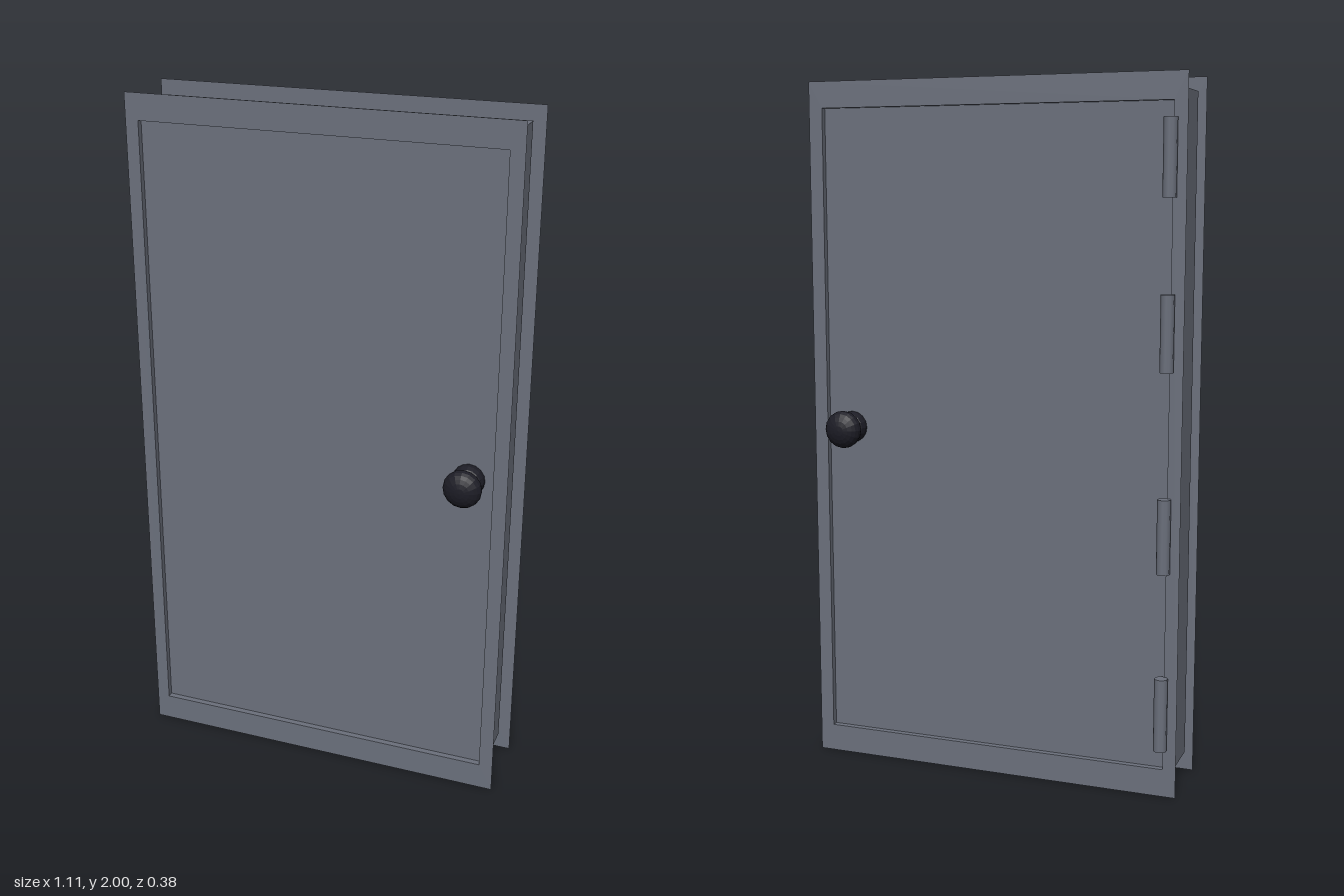
import * as THREE from 'three';

const steel = new THREE.MeshStandardMaterial({ color: 0x6b707c, side: THREE.DoubleSide });
steel.name = 'greySteel';
const black = new THREE.MeshStandardMaterial({ color: 0x1c1c25, flatShading: true });
black.name = 'blackKnob';
const hingeSteel = steel;

// Opening in the casing, and the outer edge of the casing
const opening = { x0: -0.517, x1: 0.514, y0: 0.08, y1: 1.925 };
const casing = { x0: -0.555, x1: 0.555, y0: 0, y1: 2 };
const CENTRE_Z = -0.002;
const BODY_HALF = 0.092;
const CASING_Z = 0.11;

function rectangle(Type, r, grow = 0) {
  const p = new Type();
  p.moveTo(r.x0 - grow, r.y0 - grow);
  p.lineTo(r.x1 + grow, r.y0 - grow);
  p.lineTo(r.x1 + grow, r.y1 + grow);
  p.lineTo(r.x0 - grow, r.y1 + grow);
  p.closePath();
  return p;
}

function add(parent, name, geometry, material, x = 0, y = 0, z = 0) {
  const mesh = new THREE.Mesh(geometry, material);
  mesh.name = name;
  mesh.position.set(x, y, z);
  parent.add(mesh);
  return mesh;
}

// One face of the door: flat casing, shallow reveal around the panel
function makeFace(side) {
  const face = new THREE.Group();
  face.name = side > 0 ? 'frontCasing' : 'backCasing';

  const flat = rectangle(THREE.Shape, casing);
  flat.holes.push(rectangle(THREE.Path, opening));
  add(face, 'casingPlate', new THREE.ShapeGeometry(flat), steel, 0, 0, side * CASING_Z);

  const rim = rectangle(THREE.Shape, opening, 0.002);
  rim.holes.push(rectangle(THREE.Path, opening));
  const depth = CASING_Z - BODY_HALF;
  const reveal = new THREE.ExtrudeGeometry(rim, { depth, bevelEnabled: false });
  add(face, 'reveal', reveal, steel, 0, 0, side > 0 ? BODY_HALF : -CASING_Z);

  face.position.z = CENTRE_Z;
  return face;
}

// Rounded rose with a flattened ball in front of it
function makeKnob(side) {
  const knob = new THREE.Group();
  knob.name = side > 0 ? 'frontKnob' : 'backKnob';
  const profile = [[0.046, 0.085], [0.046, 0.105], [0.041, 0.118], [0.028, 0.13], [0, 0.136]]
    .map(([r, h]) => new THREE.Vector2(r, h));
  const rose = new THREE.LatheGeometry(profile, 16).rotateX(Math.PI / 2);
  add(knob, 'rose', rose, black);
  const ball = new THREE.SphereGeometry(0.055, 16, 12).rotateX(Math.PI / 2).scale(1, 1, 0.62);
  add(knob, 'ball', ball, black, 0, 0, 0.157);
  knob.position.set(0.441, 1.005, 0);
  if (side < 0) knob.rotation.y = Math.PI;
  return knob;
}

export function createModel() {
  const door = new THREE.Group();
  door.name = 'door';

  // Solid body between the two casings
  const body = new THREE.BoxGeometry(1.057, 1.9, BODY_HALF * 2);
  add(door, 'doorBody', body, steel, -0.006, 1.01, CENTRE_Z);

  for (const side of [1, -1]) door.add(makeFace(side), makeKnob(side));

  // Hinge barrels along the back edge
  const hinges = new THREE.Group();
  hinges.name = 'hinges';
  const barrel = new THREE.CylinderGeometry(0.019, 0.019, 0.21, 10);
  for (const y of [0.246, 0.754, 1.311, 1.776]) {
    add(hinges, 'hingeBarrel', barrel, hingeSteel, -0.512, y, -0.126);
  }
  door.add(hinges);

  return door;
}
